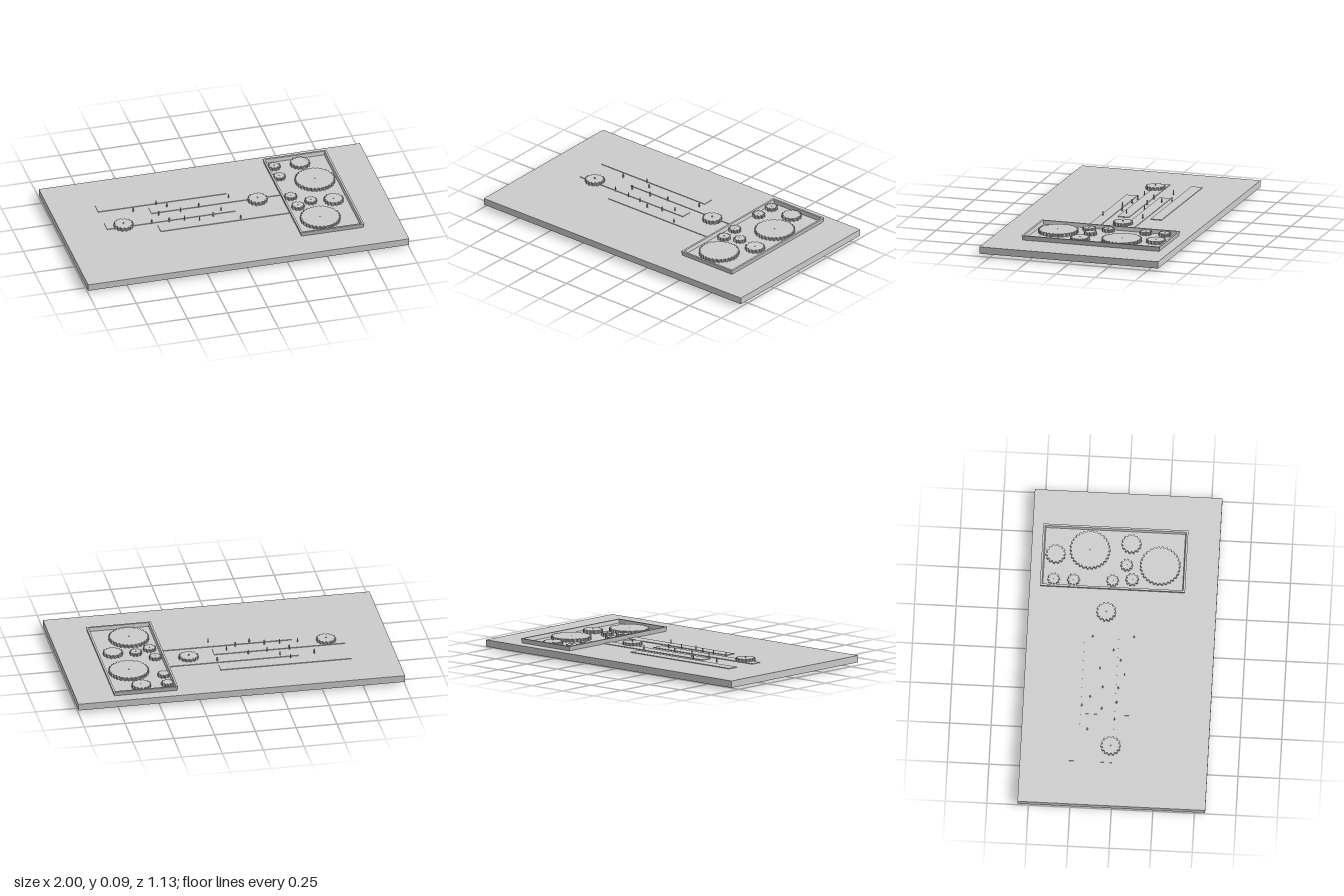
import * as THREE from 'three';

export function createModel() {
  const model = new THREE.Group();
  const mat = new THREE.MeshStandardMaterial({ color: 0xcccccc, flatShading: true });

  const add = (name, geo, x, y, z) => {
    const mesh = new THREE.Mesh(geo, mat);
    mesh.name = name;
    mesh.position.set(x, y, z);
    model.add(mesh);
    return mesh;
  };
  const box = (name, x0, x1, y0, y1, z0, z1) =>
    add(name, new THREE.BoxGeometry(x1 - x0, y1 - y0, z1 - z0), (x0 + x1) / 2, (y0 + y1) / 2, (z0 + z1) / 2);
  const pin = (name, x, z, y0, y1) =>
    add(name, new THREE.CylinderGeometry(0.004, 0.004, y1 - y0, 8), x, (y0 + y1) / 2, z);

  // Base board
  const top = 0.06;
  box('baseBoard', -1, 1, 0.018, top, -0.565, 0.565);

  // Four thin raised strips, staggered in pairs
  const strips = [[-0.725, -0.287], [-0.42, -0.186], [-0.725, -0.081], [-0.42, 0.026]];
  for (const [x, z] of strips) box('strip', x, x + 0.8, top, top + 0.004, z, z + 0.07);

  // Toothed wheel lying flat: trapezoid teeth round a disc
  const gear = (name, x, z, r, teeth, y0, y1) => {
    const root = r - 0.009;
    const pts = [];
    for (let i = 0; i < teeth; i++) {
      for (const [t, rad] of [[0, root], [0.3, root], [0.48, r], [0.82, r]]) {
        const a = ((i + t) / teeth) * Math.PI * 2;
        pts.push(new THREE.Vector2(Math.cos(a) * rad, Math.sin(a) * rad));
      }
    }
    const geo = new THREE.ExtrudeGeometry(new THREE.Shape(pts), { depth: y1 - y0, bevelEnabled: false });
    geo.rotateX(-Math.PI / 2);
    add(name, geo, x, y0, z);
  };

  // Gears on the board with axles through it
  for (const [x, z] of [[-0.62, -0.024], [0.235, -0.095]]) {
    gear('boardGear', x, z, 0.06, 14, top, 0.08);
    pin('boardGearAxle', x, z, 0, 0.088);
  }

  // Loose pins through the board
  const pins = [
    [-0.52, -0.17], [-0.367, -0.21], [-0.312, -0.163], [-0.383, -0.09], [-0.246, -0.092],
    [-0.127, -0.114], [0.074, -0.168], [-0.008, -0.038], [-0.448, -0.01], [-0.34, -0.002],
    [-0.247, 0.003], [-0.162, 0.036], [-0.07, 0.008], [0.082, 0.081],
  ];
  for (const [x, z] of pins) pin('pin', x, z, 0, 0.088);

  // Shallow open tray, walls flaring outward slightly
  const cx = 0.575, cz = -0.065, hx = 0.198, hz = 0.437, wall = 0.012;
  const rect = (w, d, C) => new C([
    new THREE.Vector2(-w, -d), new THREE.Vector2(w, -d), new THREE.Vector2(w, d), new THREE.Vector2(-w, d),
  ]);
  const frame = rect(hx, hz, THREE.Shape);
  frame.holes.push(rect(hx - wall, hz - wall, THREE.Path));
  const h = 0.028;
  const frameGeo = new THREE.ExtrudeGeometry(frame, { depth: h, bevelEnabled: false });
  frameGeo.rotateX(-Math.PI / 2);
  const p = frameGeo.attributes.position;
  for (let i = 0; i < p.count; i++) {
    const inset = 0.006 * (1 - p.getY(i) / h);
    p.setX(i, p.getX(i) - Math.sign(p.getX(i)) * inset);
    p.setZ(i, p.getZ(i) - Math.sign(p.getZ(i)) * inset);
  }
  frameGeo.computeVertexNormals();
  add('trayWalls', frameGeo, cx, top, cz);
  box('trayFloor', cx - hx + 0.01, cx + hx - 0.01, top, top + 0.005, cz - hz + 0.01, cz + hz - 0.01);

  // Spare gears in the tray: x, z, radius, teeth
  const spares = [
    [0.427, -0.422, 0.038, 10], [0.587, -0.418, 0.06, 14], [0.427, -0.302, 0.038, 10],
    [0.624, -0.213, 0.122, 30], [0.434, -0.067, 0.038, 10], [0.538, 0.012, 0.038, 10],
    [0.447, 0.05, 0.04, 10], [0.674, 0.034, 0.06, 14], [0.542, 0.214, 0.122, 30],
  ];
  for (const [x, z, r, n] of spares) {
    gear('trayGear', x, z, r, n, top + 0.005, 0.084);
    pin('trayGearHub', x, z, 0.07, 0.086);
  }
  return model;
}
